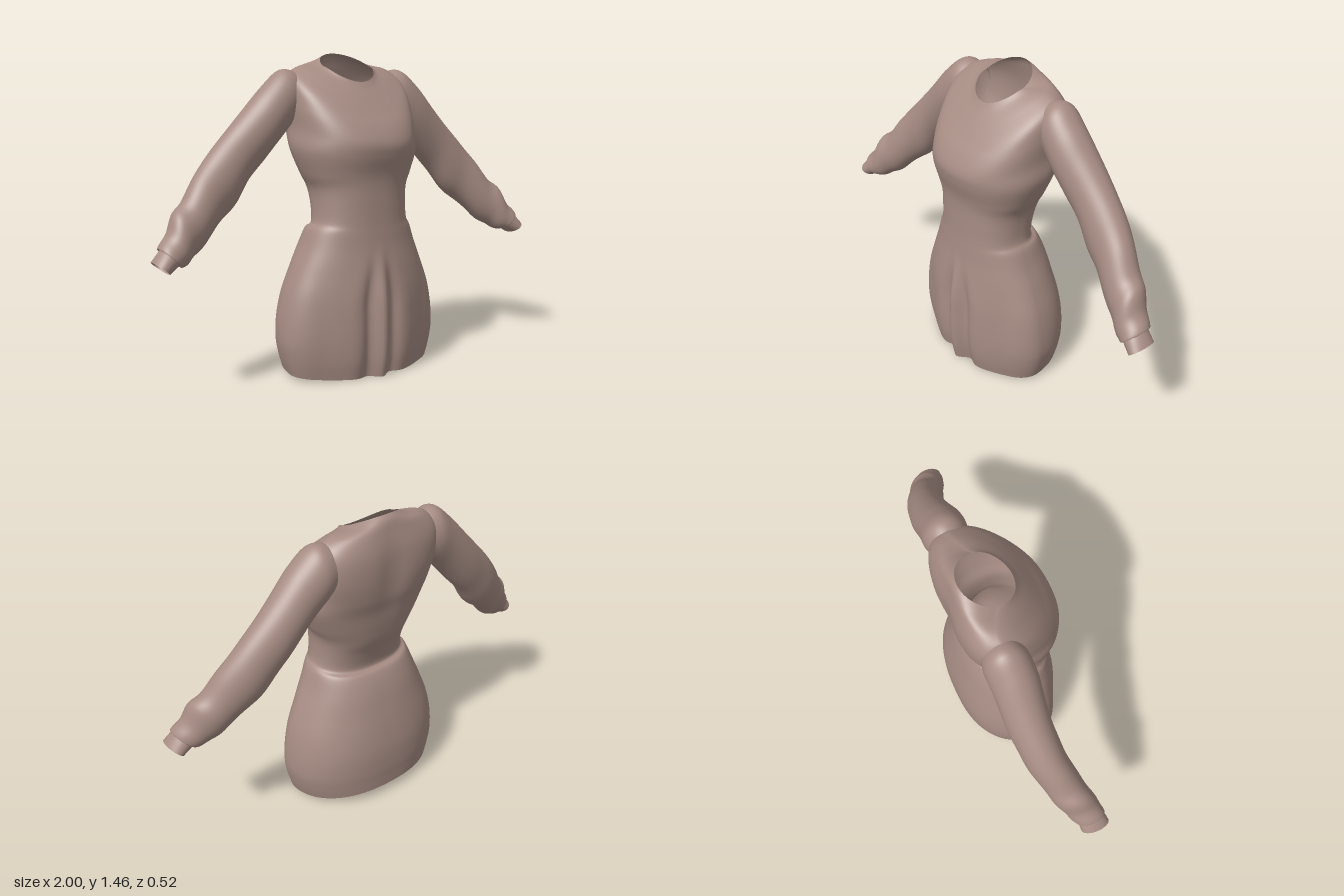
import * as THREE from 'three';

const fabric = new THREE.MeshStandardMaterial({ color: 0xa68c83, side: THREE.DoubleSide });
fabric.name = 'dusty rose knit';

// Catmull-Rom sampling of a table of rows, t from 0 to 1
function sample(rows, t) {
  const f = t * (rows.length - 1), i = Math.min(Math.floor(f), rows.length - 2), u = f - i;
  const row = (k) => rows[Math.max(0, Math.min(rows.length - 1, k))];
  return rows[i].map((_, c) => {
    const a = row(i - 1)[c], b = row(i)[c], d = row(i + 1)[c], e = row(i + 2)[c];
    return b + 0.5 * u * (d - a + u * (2 * a - 5 * b + 4 * d - e + u * (3 * (b - d) + e - a)));
  });
}

// Open tube through closed rings; point(t, angle) returns [x, y, z]
function loft(name, point, rings, segs, flip = false) {
  const pos = [], idx = [];
  for (let i = 0; i <= rings; i++) {
    for (let j = 0; j < segs; j++) {
      pos.push(...point(i / rings, (j / segs) * Math.PI * 2));
      if (i === rings) continue;
      const k = (j + 1) % segs;
      const a = i * segs + j, b = i * segs + k, c = a + segs, d = b + segs;
      if (flip) idx.push(a, c, b, b, c, d);
      else idx.push(a, b, c, b, d, c);
    }
  }
  const geo = new THREE.BufferGeometry();
  geo.setAttribute('position', new THREE.Float32BufferAttribute(pos, 3));
  geo.setIndex(idx);
  geo.computeVertexNormals();
  const mesh = new THREE.Mesh(geo, fabric);
  mesh.name = name;
  return mesh;
}

const spow = (v, p) => Math.sign(v) * Math.abs(v) ** p;
const bump = (v, w) => Math.exp(-((v / w) ** 2));
const smooth = THREE.MathUtils.smoothstep;

// Body rings: heights at front/side/back, half width, z at front/side/back,
// squareness of the front and back halves
const upperRows = [
  [1.325, 1.395, 1.455, 0.125, 0.06, -0.06, -0.18, 2, 2],
  [1.295, 1.395, 1.435, 0.155, 0.08, -0.085, -0.2, 2, 2.1],
  [1.25, 1.39, 1.39, 0.23, 0.115, -0.11, -0.215, 2.1, 2.5],
  [1.19, 1.35, 1.30, 0.292, 0.16, -0.105, -0.237, 2.3, 3],
  [1.13, 1.25, 1.20, 0.303, 0.205, -0.09, -0.242, 2.4, 3],
  [1.06, 1.13, 1.10, 0.295, 0.238, -0.06, -0.232, 2.4, 2.7],
  [1.00, 1.03, 1.02, 0.298, 0.235, -0.02, -0.212, 2.3, 2.4],
  [0.92, 0.92, 0.93, 0.262, 0.214, 0.01, -0.195, 2.3, 2.4],
  [0.86, 0.85, 0.85, 0.23, 0.207, 0.03, -0.175, 2.3, 2.4],
];
const lowerRows = [
  [0.77, 0.77, 0.77, 0.224, 0.206, 0.04, -0.14, 2.3, 2.4],
  [0.70, 0.705, 0.685, 0.23, 0.207, 0.04, -0.12, 2.3, 2.4],
  [0.66, 0.67, 0.665, 0.254, 0.209, 0.04, -0.155, 2.2, 2.4],
  [0.59, 0.59, 0.59, 0.285, 0.214, 0.04, -0.19, 2.1, 2.4],
  [0.49, 0.49, 0.49, 0.33, 0.226, 0.04, -0.218, 2, 2.3],
  [0.38, 0.38, 0.38, 0.372, 0.234, 0.04, -0.242, 2, 2.3],
  [0.27, 0.27, 0.28, 0.395, 0.237, 0.04, -0.256, 2, 2.3],
  [0.17, 0.17, 0.18, 0.401, 0.237, 0.04, -0.257, 2, 2.3],
  [0.08, 0.09, 0.11, 0.389, 0.231, 0.04, -0.252, 2, 2.3],
  [0.0, 0.02, 0.058, 0.37, 0.216, 0.04, -0.248, 2, 2.3],
];
const bodyRows = [...upperRows, ...lowerRows];

function bodyPoint(t, a) {
  const [yF, yS, yB, w, zF, zS, zB, nF, nB] = sample(bodyRows, t);
  const s = Math.sin(a), front = s > 0, n = front ? nF : nB;
  const x = w * spow(Math.cos(a), 2 / n), ax = Math.abs(x);
  const k = Math.abs(s) ** (2 / n);
  const y = yS + ((front ? yF : yB) - yS) * k ** (front ? 1.4 : 1.1);
  let z = zS + ((front ? zF : zB) - zS) * k;
  if (front) {
    // soft pleats fanning down the centre front of the skirt
    const fall = smooth(0.62 - y, 0, 0.3), spread = 0.5 + 0.5 * fall;
    z += fall * (0.024 * bump(x, 0.03) - 0.017 * bump(ax - 0.065 * spread, 0.028)
      + 0.006 * bump(ax - 0.14 * spread, 0.045) - 0.007 * bump(ax - 0.27, 0.06));
  } else {
    // hollow along the spine
    z += 0.014 * bump(x, 0.07) * bump(y - 1.2, 0.15);
  }
  return [x, y, z];
}

// Sleeve ring: upper edge x/y, lower edge x/y, z centre, z radius
const sleeveRows = [
  [0.235, 1.365, 0.27, 1.15, -0.11, 0.085],
  [0.32, 1.38, 0.297, 1.12, -0.107, 0.1],
  [0.41, 1.31, 0.35, 1.065, -0.1, 0.101],
  [0.50, 1.215, 0.42, 0.99, -0.1, 0.097],
  [0.60, 1.11, 0.50, 0.90, -0.098, 0.092],
  [0.69, 1.015, 0.57, 0.81, -0.085, 0.09],
  [0.765, 0.93, 0.645, 0.74, -0.065, 0.087],
  [0.83, 0.835, 0.73, 0.665, -0.038, 0.084],
  [0.885, 0.79, 0.79, 0.615, -0.014, 0.084],
  [0.918, 0.715, 0.835, 0.585, 0.005, 0.078],
  [0.955, 0.675, 0.865, 0.572, 0.02, 0.074],
  [0.966, 0.657, 0.878, 0.572, 0.025, 0.07],
  [0.958, 0.652, 0.885, 0.582, 0.026, 0.06],
];
const cuffRows = [
  [0.945, 0.662, 0.875, 0.592, 0.024, 0.06],
  [0.972, 0.635, 0.905, 0.57, 0.03, 0.063],
  [0.998, 0.605, 0.935, 0.551, 0.035, 0.066],
];

function armPoint(rows, side, wrinkle, t, a) {
  const [ux, uy, lx, ly, zc, zr] = sample(rows, t);
  const fold = 1 + wrinkle * Math.sin(t * 34 + 2 * Math.sin(a + 0.6))
    * smooth(t, 0.1, 0.5) * smooth(1 - t, 0.05, 0.3) * (0.6 - 0.4 * Math.cos(a));
  const c = 0.5 * Math.cos(a) * fold;
  return [
    side * ((ux + lx) / 2 + (ux - lx) * c),
    (uy + ly) / 2 + (uy - ly) * c,
    zc + zr * Math.sin(a) * fold,
  ];
}

export function createModel() {
  const dress = new THREE.Group();
  dress.name = 'longSleeveDress';
  dress.add(loft('bodiceAndSkirt', bodyPoint, 126, 192));
  for (const [label, side] of [['left', 1], ['right', -1]]) {
    dress.add(loft(label + 'Sleeve', (t, a) => armPoint(sleeveRows, side, 0.04, t, a), 84, 48, side < 0));
    dress.add(loft(label + 'Cuff', (t, a) => armPoint(cuffRows, side, 0, t, a), 10, 48, side < 0));
  }
  return dress;
}
